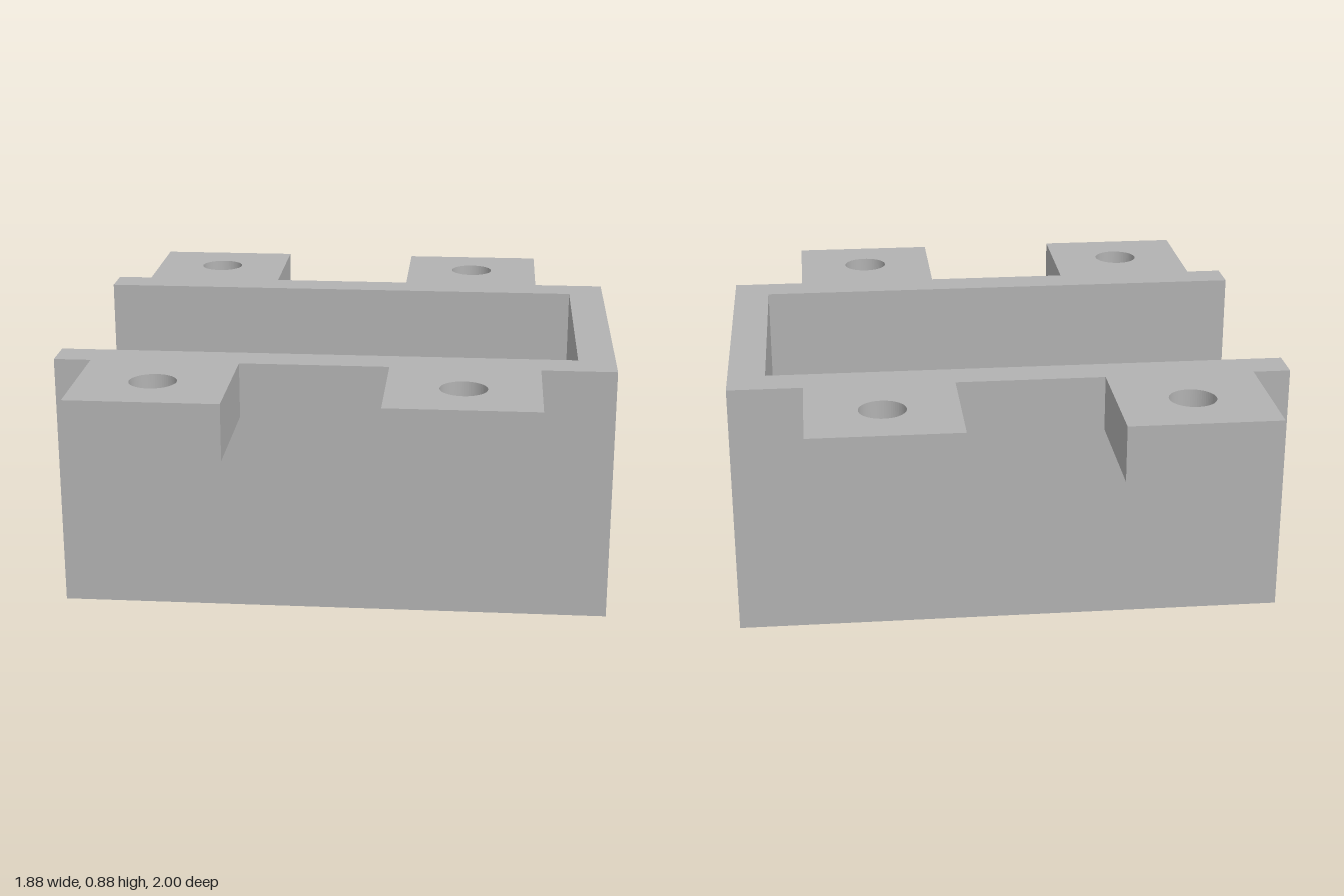
import * as THREE from 'three';

// Sizes of the open-ended trough
const halfL = 0.9375, halfW = 0.5625, height = 0.875, wall = 0.125;
const tabThick = 0.1875, tabReach = 0.4375, tabWidth = 0.5;

function polygon(points) {
  return new THREE.Shape(points.map(([x, y]) => new THREE.Vector2(x, y)));
}

function addHole(shape, x, y, radius) {
  const hole = new THREE.Path();
  hole.absarc(x, y, radius, 0, Math.PI * 2, true);
  shape.holes.push(hole);
}

function extrude(shape, depth) {
  return new THREE.ExtrudeGeometry(shape, { depth, bevelEnabled: false, curveSegments: 32 });
}

export function createModel() {
  const group = new THREE.Group();
  const grey = new THREE.MeshStandardMaterial({ color: 0xb2b2b2 });
  grey.name = 'grey';

  const add = (name, geometry, x, y, z) => {
    const mesh = new THREE.Mesh(geometry, grey);
    mesh.name = name;
    mesh.position.set(x, y, z);
    group.add(mesh);
  };

  // Floor and two side walls: a U profile run along x, open at the -x end
  const inner = halfW - wall;
  const channel = polygon([
    [-halfW, 0], [halfW, 0], [halfW, height], [inner, height],
    [inner, wall], [-inner, wall], [-inner, height], [-halfW, height],
  ]);
  add('channel', extrude(channel, halfL * 2 - wall).rotateY(Math.PI / 2), -halfL, 0, 0);

  // End wall with the round shaft hole, slightly off centre
  const end = polygon([[-halfW, 0], [halfW, 0], [halfW, height], [-halfW, height]]);
  addHole(end, 0.0625, 0.5, 0.158);
  add('endWall', extrude(end, wall).rotateY(Math.PI / 2), halfL - wall, 0, 0);

  // Four mounting tabs, each with a screw hole
  const w = tabWidth / 2, r = tabReach / 2;
  const tab = polygon([[-w, -r], [w, -r], [w, r], [-w, r]]);
  addHole(tab, 0, 0, 0.078);
  const tabGeometry = extrude(tab, tabThick).rotateX(-Math.PI / 2);
  // The hole sits midway between the wall and the tab's outer edge, nudged outward by the wall offset
  tabGeometry.computeBoundingBox();
  for (const side of [-1, 1]) {
    for (const x of [-0.5625, 0.4375]) {
      add(side > 0 ? 'frontTab' : 'backTab', tabGeometry,
        x, height - tabThick, side * (halfW + r));
    }
  }

  return group;
}
